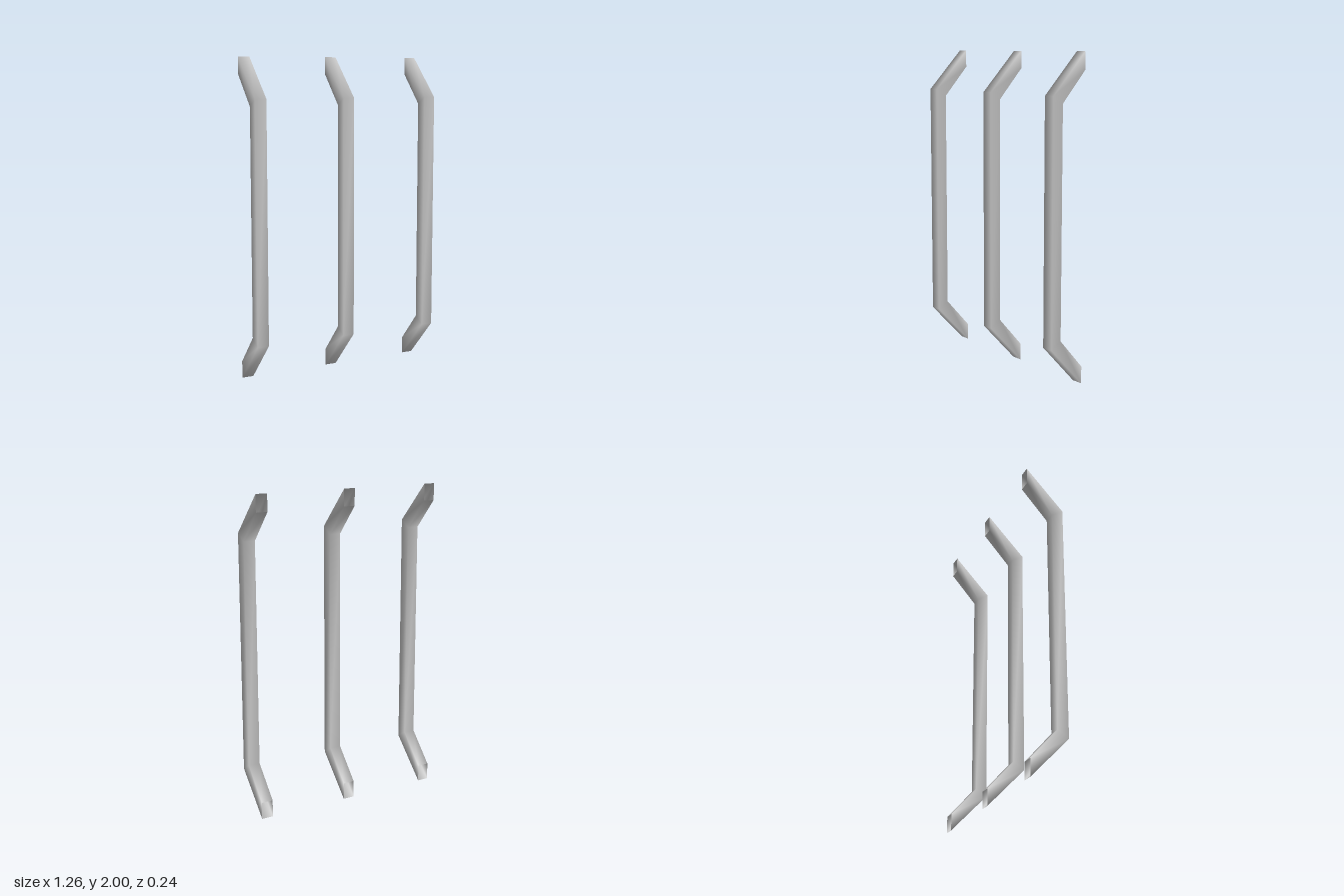
import * as THREE from 'three';

const HALF_WIDTH = 0.0375;
const SPACING = 0.595;

// Side profile from bottom to top: [front z, front y, back z, back y]
const SECTIONS = [
  [-0.12, 0, -0.12, 0.107],
  [0.12, 0.252, 0.048, 0.296],
  [0.12, 1.748, 0.048, 1.704],
  [-0.12, 2, -0.12, 1.893],
];

// Square tube swept through the mitred sections, open at both ends
function barGeometry() {
  const positions = [];
  const indices = [];
  const w = HALF_WIDTH;
  SECTIONS.forEach(([fz, fy, bz, by], s) => {
    positions.push(-w, fy, fz, w, fy, fz, w, by, bz, -w, by, bz);
    if (s === 0) return;
    for (let i = 0; i < 4; i++) {
      const j = (i + 1) % 4;
      const low = (s - 1) * 4;
      const high = s * 4;
      indices.push(low + i, low + j, high + j, low + i, high + j, high + i);
    }
  });
  const geometry = new THREE.BufferGeometry();
  geometry.setAttribute('position', new THREE.Float32BufferAttribute(positions, 3));
  geometry.setIndex(indices);
  geometry.computeVertexNormals(); // shared corners give soft shading
  return geometry;
}

export function createModel() {
  const group = new THREE.Group();
  group.name = 'bentBars';
  const material = new THREE.MeshStandardMaterial({ color: 0xcccccc, side: THREE.DoubleSide });
  const geometry = barGeometry();

  // Three identical upright bars
  ['rightBar', 'middleBar', 'leftBar'].forEach((name, i) => {
    const bar = new THREE.Mesh(geometry, material);
    bar.name = name;
    bar.position.x = (i - 1) * SPACING;
    group.add(bar);
  });
  return group;
}
